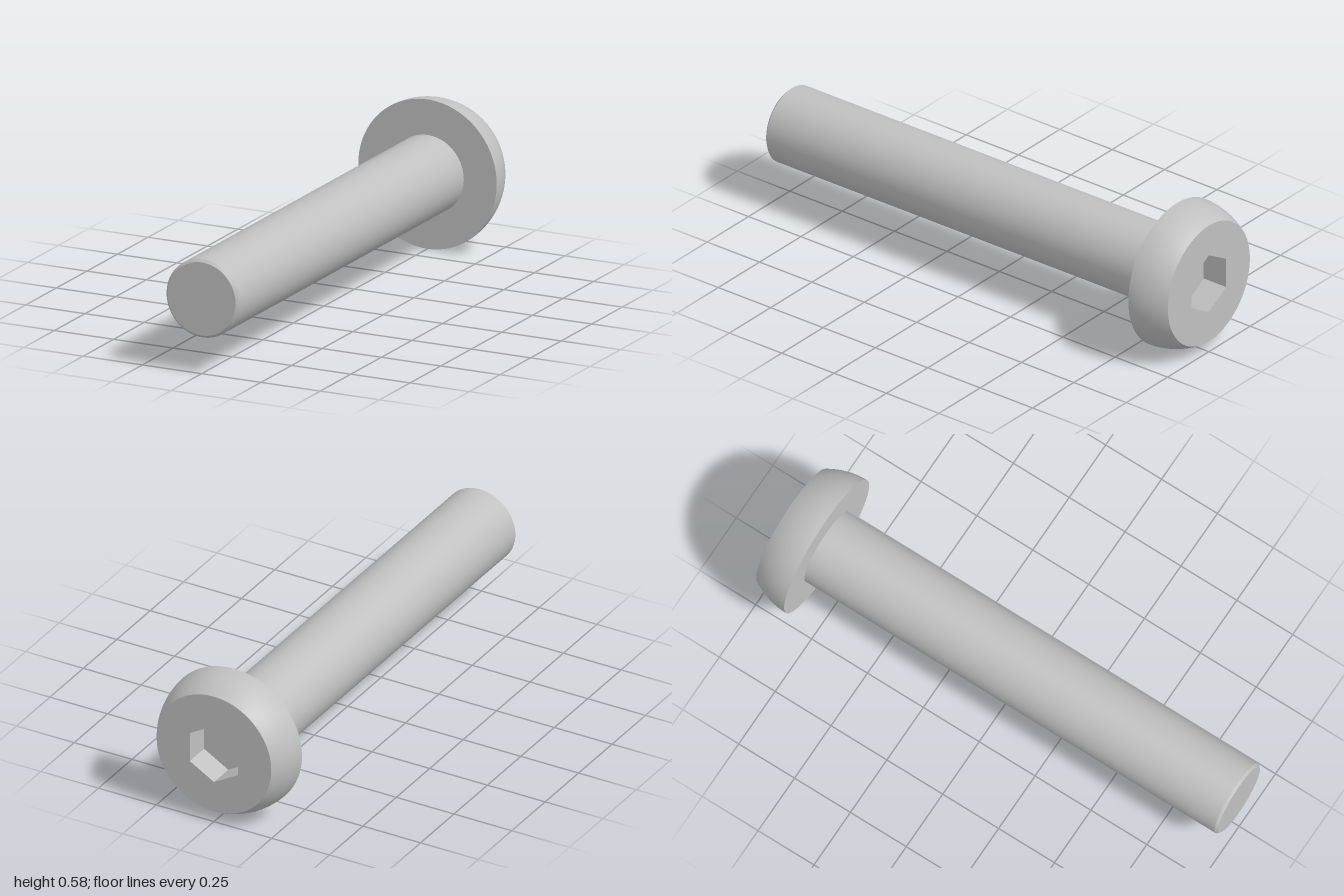
import * as THREE from 'three';

const SEG = 96;
const R_HEAD = 0.292, R_SHANK = 0.153, R_TIP = 0.143;
const R_HEX = 0.121, Z_BACK = -1, Z_SEAT = -0.846, Z_SOCKET = -0.893;
const R_FACE = Math.sqrt(R_HEAD ** 2 - (Z_SEAT - Z_BACK) ** 2);

export function createModel() {
  const steel = new THREE.MeshStandardMaterial({ color: 0xc0c0c0 });
  steel.name = 'steel';
  const screw = new THREE.Group();
  screw.name = 'screw';

  const add = (name, geometry) => {
    const mesh = new THREE.Mesh(geometry, steel);
    mesh.name = name;
    screw.add(mesh);
  };
  // Revolve [radius, z] points around the z axis
  const revolve = (points, segments = SEG) =>
    new THREE.LatheGeometry(points.map(([r, z]) => new THREE.Vector2(r, z)), segments).rotateX(Math.PI / 2);

  // Domed side of the head: a slice of a sphere centred on the seat plane
  const dome = [];
  const sweep = Math.acos(R_FACE / R_HEAD);
  for (let i = 0; i <= 12; i++) {
    const a = sweep * (1 - i / 12);
    dome.push([R_HEAD * Math.cos(a), Z_SEAT - R_HEAD * Math.sin(a)]);
  }
  add('headDome', revolve(dome));
  add('headSeat', new THREE.RingGeometry(R_SHANK, R_HEAD, SEG).translate(0, 0, Z_SEAT));

  // Flat end of the head with a hexagonal opening
  const face = new THREE.Shape().absarc(0, 0, R_FACE, 0, Math.PI * 2);
  const corners = [];
  for (let i = 0; i < 6; i++) {
    const a = Math.PI / 2 + i * Math.PI / 3;
    corners.push(new THREE.Vector2(R_HEX * Math.cos(a), R_HEX * Math.sin(a)));
  }
  face.holes.push(new THREE.Path(corners));
  add('headFace', new THREE.ShapeGeometry(face, SEG).rotateY(Math.PI).translate(0, 0, Z_BACK));

  // Hex socket: floor and inward-facing walls
  const socket = revolve([[0, Z_SOCKET], [R_HEX, Z_SOCKET], [R_HEX, Z_BACK]], 6).toNonIndexed();
  socket.computeVertexNormals();
  add('hexSocket', socket);

  // Shank with a small chamfer at the tip
  add('shank', revolve([[R_SHANK, Z_SEAT], [R_SHANK, 0.99]]));
  add('tipChamfer', revolve([[R_SHANK, 0.99], [R_TIP, 1]]));
  add('tipFace', new THREE.CircleGeometry(R_TIP, SEG).translate(0, 0, 1));

  screw.position.y = R_HEAD;
  const model = new THREE.Group();
  model.name = 'buttonHeadScrew';
  model.add(screw);
  return model;
}
